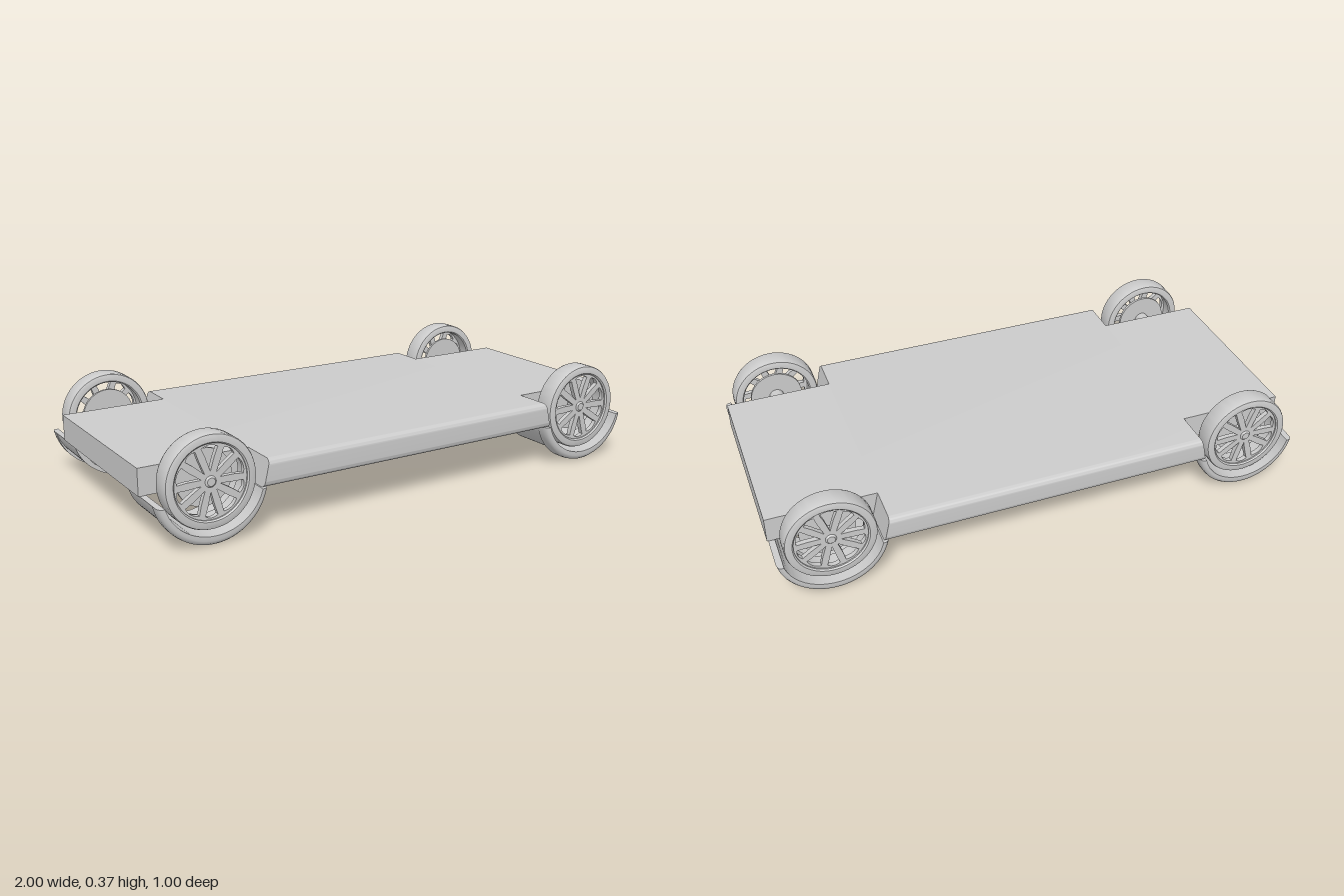
import * as THREE from 'three';
import { toCreasedNormals } from 'three/addons/utils/BufferGeometryUtils.js';

const mat = new THREE.MeshStandardMaterial({ color: 0xcccccc, side: THREE.DoubleSide });
const BOTTOM = 0.16, TOP = 0.257;

function mesh(name, geo, parent) {
  const m = new THREE.Mesh(geo, mat);
  m.name = name;
  parent.add(m);
  return m;
}

// Ring-shaped solid turned about the z axis from [radius, z] points
function turned(points, segments = 64) {
  const g = new THREE.LatheGeometry(points.map(([r, z]) => new THREE.Vector2(r, z)), segments);
  return toCreasedNormals(g.rotateX(Math.PI / 2), 0.6);
}

// Full-width middle of the deck: rounded long edges, ends leaning under the wheels
function middleDeck() {
  const r = 0.022, s = new THREE.Shape();
  s.moveTo(-0.5 + r, BOTTOM);
  s.lineTo(0.5 - r, BOTTOM);
  s.absarc(0.5 - r, BOTTOM + r, r, -Math.PI / 2, 0);
  s.absarc(0.5 - r, TOP - r, r, 0, Math.PI / 2);
  s.absarc(-0.5 + r, TOP - r, r, Math.PI / 2, Math.PI);
  s.absarc(-0.5 + r, BOTTOM + r, r, Math.PI, Math.PI * 1.5);
  const g = new THREE.ExtrudeGeometry(s, { depth: 1.2, bevelEnabled: false, curveSegments: 8 });
  g.translate(0, 0, -0.6).rotateY(Math.PI / 2);
  const p = g.attributes.position;
  for (let i = 0; i < p.count; i++) {
    p.setX(i, p.getX(i) + Math.sign(p.getX(i)) * (TOP - p.getY(i)) * 0.23);
  }
  return toCreasedNormals(g, 0.6);
}

// Half-pipe guard: closed section of [z, x radius, y radius] swept under the wheel
function guardShell() {
  const section = [
    [0.25, 0.178, 0.166], [0.5, 0.178, 0.166], [0.5, 0.184, 0.182], [0.496, 0.193, 0.192],
    [0.488, 0.198, 0.198], [0.475, 0.2, 0.2], [0.45, 0.2, 0.2], [0.45, 0.2, 0.178], [0.25, 0.2, 0.178],
  ];
  const n = section.length, steps = 40, pos = [], idx = [];
  for (let i = 0; i <= steps; i++) {
    for (const [z, rx, ry] of section) {
      const t0 = Math.asin(0.04 / ry);
      const t = t0 + (Math.PI - 2 * t0) * i / steps;
      pos.push(rx * Math.cos(t), 0.2 - ry * Math.sin(t), z);
    }
  }
  for (let i = 0; i < steps; i++) {
    for (let j = 0; j < n; j++) {
      const k = (j + 1) % n, a = i * n, b = a + n;
      idx.push(a + j, b + j, b + k, a + j, b + k, a + k);
    }
  }
  // flat top edges
  const flat = section.map(([z, rx]) => new THREE.Vector2(rx, z));
  for (const f of THREE.ShapeUtils.triangulateShape(flat, [])) {
    const e = steps * n;
    idx.push(f[0], f[1], f[2], e + f[0], e + f[2], e + f[1]);
  }
  const g = new THREE.BufferGeometry();
  g.setAttribute('position', new THREE.Float32BufferAttribute(pos, 3));
  g.setIndex(idx);
  return toCreasedNormals(g, 0.6);
}

// Spoked wheel face: disc with ten leaf-shaped openings in pairs
function spokes() {
  const s = new THREE.Shape();
  s.absarc(0, 0, 0.136, 0, Math.PI * 2);
  for (let i = 0; i < 10; i++) {
    const mid = i * Math.PI / 5 + Math.PI / 2;
    const w = i % 2 ? 0.19 : 0.25;
    const at = (r, a) => [r * Math.cos(mid + a), r * Math.sin(mid + a)];
    const h = new THREE.Path();
    h.moveTo(...at(0.035, 0));
    h.lineTo(...at(0.085, -w * 0.75));
    h.lineTo(...at(0.118, -w));
    h.quadraticCurveTo(...at(0.132, 0), ...at(0.118, w));
    h.lineTo(...at(0.085, w * 0.75));
    h.closePath();
    s.holes.push(h);
  }
  return new THREE.ExtrudeGeometry(s, { depth: 0.018, bevelEnabled: false, curveSegments: 32 });
}

function wheel() {
  const g = new THREE.Group();
  g.name = 'wheel';
  mesh('tyre', turned([
    [0.13, 0.405], [0.135, 0.4], [0.153, 0.4], [0.16, 0.403], [0.163, 0.41],
    [0.163, 0.47], [0.16, 0.477], [0.153, 0.48], [0.135, 0.48], [0.13, 0.475], [0.13, 0.405],
  ]), g);
  mesh('spokes', spokes(), g).position.z = 0.452;
  mesh('hubCap', turned([[0, 0.476], [0.014, 0.476], [0.02, 0.47], [0.02, 0.42]], 24), g);
  mesh('brakeDisc', turned([[0, 0.412], [0.1, 0.412], [0.1, 0.422], [0, 0.422]], 48), g);
  mesh('axle', turned([[0.028, 0.34], [0.028, 0.42]], 24), g);
  g.position.y = 0.21;
  return g;
}

export function createModel() {
  const model = new THREE.Group();
  model.name = 'wheeledPlatform';

  // deck, narrowed at both ends to clear the wheels
  mesh('deckMiddle', middleDeck(), model);
  for (const side of [-1, 1]) {
    const end = mesh('deckEnd', new THREE.BoxGeometry(0.4, TOP - BOTTOM, 0.7), model);
    end.position.set(side * 0.8, (TOP + BOTTOM) / 2, 0);
  }

  // one wheel and guard at each corner
  const shell = guardShell();
  for (const sx of [-1, 1]) {
    for (const sz of [-1, 1]) {
      const corner = new THREE.Group();
      corner.name = (sz > 0 ? 'front' : 'back') + (sx > 0 ? 'Left' : 'Right') + 'Corner';
      mesh('wheelGuard', shell, corner);
      corner.add(wheel());
      corner.position.x = sx * 0.8;
      corner.rotation.y = sz > 0 ? 0 : Math.PI;
      model.add(corner);
    }
  }
  return model;
}
